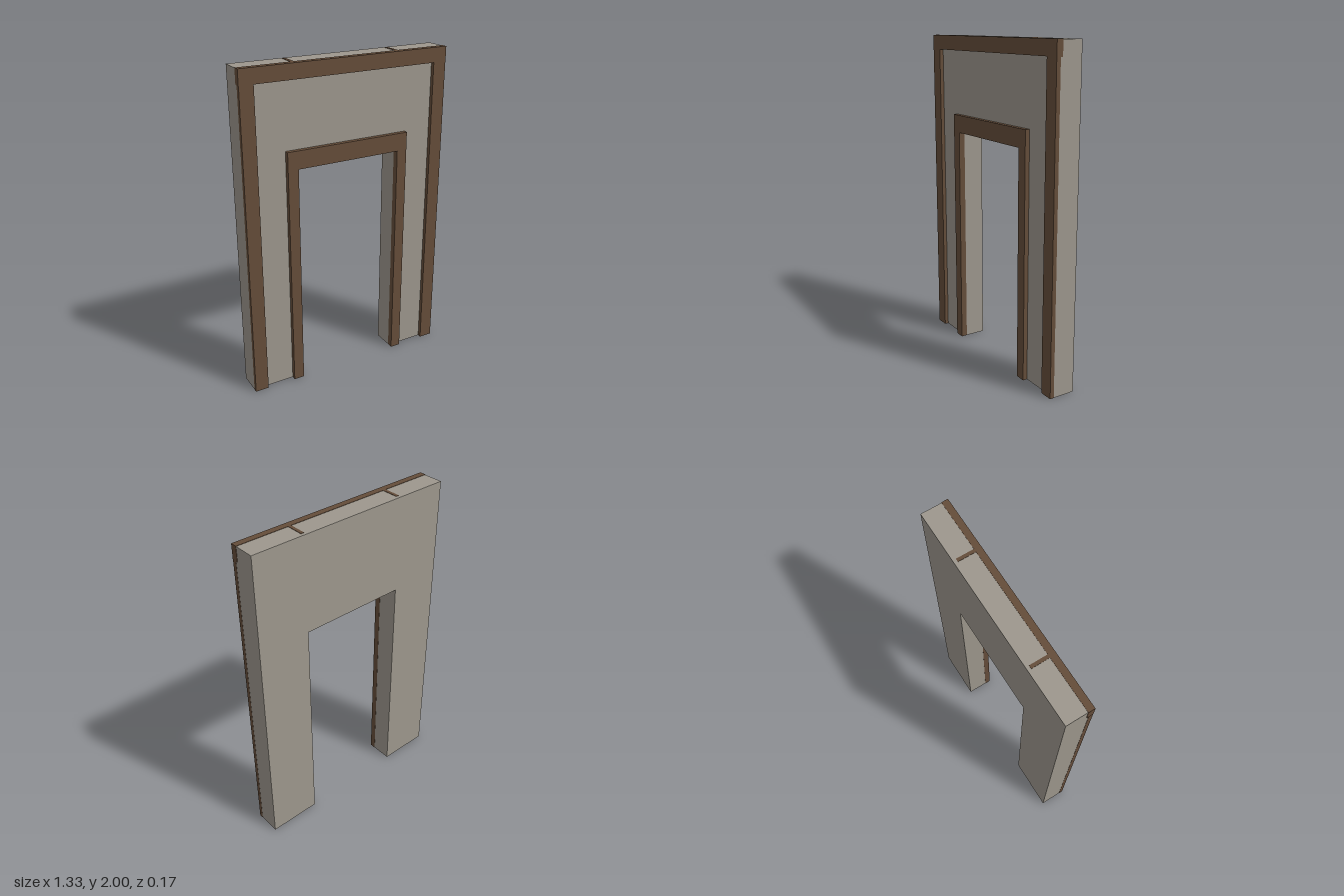
import * as THREE from 'three';

const stone = new THREE.MeshStandardMaterial({ color: 0x9d978d });
stone.name = 'warm grey plaster';
const wood = new THREE.MeshStandardMaterial({ color: 0x654d3a });
wood.name = 'brown wood';

// Upside-down U outline: outer half width and height, inner half width and height
function archShape(ow, oh, iw, ih) {
  return new THREE.Shape([
    [-ow, 0], [-iw, 0], [-iw, ih], [iw, ih], [iw, 0], [ow, 0], [ow, oh], [-ow, oh],
  ].map(([x, y]) => new THREE.Vector2(x, y)));
}

function arch(name, material, shape, z0, z1) {
  const geometry = new THREE.ExtrudeGeometry(shape, { depth: z1 - z0, bevelEnabled: false });
  geometry.translate(0, 0, z0);
  const mesh = new THREE.Mesh(geometry, material);
  mesh.name = name;
  return mesh;
}

function box(name, material, x0, x1, y0, y1, z0, z1) {
  const mesh = new THREE.Mesh(new THREE.BoxGeometry(x1 - x0, y1 - y0, z1 - z0), material);
  mesh.position.set((x0 + x1) / 2, (y0 + y1) / 2, (z0 + z1) / 2);
  mesh.name = name;
  return mesh;
}

export function createModel() {
  const group = new THREE.Group();
  group.name = 'doorway';

  // Wall with the door opening
  group.add(arch('wall', stone, archShape(0.664, 1.998, 0.335, 1.402), -0.085, 0.055));

  // Outer trim: two posts below a deeper top beam
  for (const side of [-1, 1]) {
    const a = side * 0.58, b = side * 0.665;
    group.add(box('outerTrimPost', wood, Math.min(a, b), Math.max(a, b), 0, 1.91, 0.053, 0.079));
  }
  group.add(box('outerTrimBeam', wood, -0.666, 0.666, 1.91, 2, 0.04, 0.079));

  // Door frame around the opening
  group.add(arch('doorFrame', wood, archShape(0.4, 1.51, 0.334, 1.4), 0.045, 0.083));

  // Beam ends showing on top of the wall
  for (const x of [-0.335, 0.335]) {
    group.add(box('beamEnd', wood, x - 0.01, x + 0.01, 1.995, 2, -0.065, 0.042));
  }
  return group;
}
